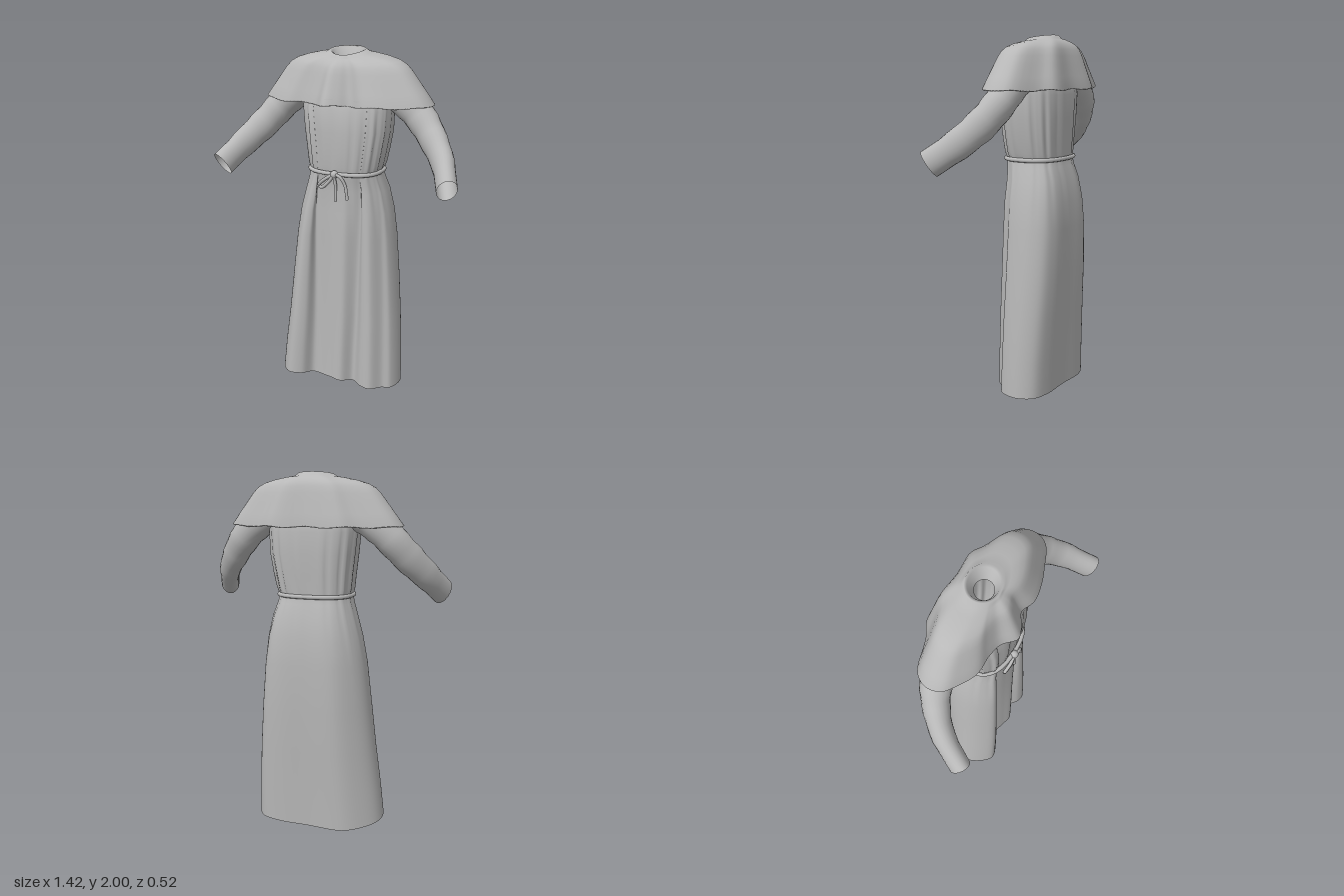
import * as THREE from 'three';

const V = (x, y, z) => new THREE.Vector3(x, y, z);
const lerp = THREE.MathUtils.lerp;
const cloth = new THREE.MeshStandardMaterial({ color: 0xb8b8b8, side: THREE.DoubleSide });
cloth.name = 'greyCloth';

// Skin a surface over closed rings of equal length, listed from bottom to top
function loft(rings) {
  const n = rings[0].length, index = [];
  for (let r = 0; r < rings.length - 1; r++) {
    for (let i = 0; i < n; i++) {
      const a = r * n + i, b = r * n + (i + 1) % n;
      index.push(a, a + n, b, b, a + n, b + n);
    }
  }
  const geo = new THREE.BufferGeometry().setFromPoints(rings.flat());
  geo.setIndex(index);
  geo.computeVertexNormals();
  return geo;
}

// Smooth closed outline through [x, z] points
const outline = (pts, n) =>
  new THREE.CatmullRomCurve3(pts.map(([x, z]) => V(x, 0, z)), true).getPoints(n).slice(0, n);

const rounded = (v) => Math.sign(v) * Math.abs(v) ** 0.79;

function add(group, name, geo) {
  const mesh = new THREE.Mesh(geo, cloth);
  mesh.name = name;
  group.add(mesh);
  return mesh;
}

// Pleated hem, as a unit outline
const hemUnit = outline([
  [-0.385, 0.03], [-0.34, 0.12], [-0.285, 0.165], [-0.215, 0.145], [-0.165, 0.08], [-0.06, 0.1],
  [0.025, 0.115], [0.085, 0.06], [0.15, 0.1], [0.21, 0.105], [0.265, 0.045], [0.312, 0.02],
  [0.338, -0.09], [0.29, -0.175], [0.18, -0.203], [0, -0.197], [-0.2, -0.2], [-0.305, -0.14], [-0.373, -0.06],
], 120).map((p) => V((p.x + 0.025) / 0.36, 0, (p.z + 0.02) / 0.185));

// One robe ring: extents, how much of the hem pleats it keeps, and small gathers
function robeRing([y, xl, xr, zf, zb, pleat, gather]) {
  return hemUnit.map((h) => {
    const a = Math.atan2(h.z, h.x);
    const g = 1 + gather * (Math.cos(17 * a) + 0.6 * Math.sin(29 * a));
    const ux = lerp(rounded(Math.cos(a)), h.x, pleat) * g;
    const uz = lerp(rounded(Math.sin(a)), h.z, pleat) * g;
    const left = Math.max(h.x, 0);
    const lift = Math.max(0, 0.03 + 0.03 * h.z * (1 - left) - 0.015 * left);
    const low = Math.max(0, 1 - y / 0.5);
    return V((xl + xr) / 2 + ux * (xr - xl) / 2, y + lift * low, (zf + zb) / 2 + uz * (zf - zb) / 2);
  });
}

// Shoulder cape with a collar that turns inward
function capeGeometry() {
  const edge = outline([
    [0, -0.245], [-0.19, -0.26], [-0.28, -0.21], [-0.45, -0.145], [-0.49, -0.07], [-0.47, 0.005],
    [-0.4, 0.055], [-0.3, 0.1], [-0.2, 0.1], [-0.12, 0.115], [-0.05, 0.172], [0.02, 0.145],
    [0.08, 0.11], [0.16, 0.135], [0.25, 0.12], [0.35, 0.08], [0.46, 0.02], [0.492, -0.06],
    [0.46, -0.14], [0.28, -0.21], [0.19, -0.26],
  ], 96);
  const ring = (f) => edge.map((p) => {
    const a = Math.atan2((p.z + 0.055) / 0.2, p.x / 0.49);
    return f(p, Math.cos(a), Math.sin(a));
  });
  const hemY = (p) => 1.708 + 0.008 * Math.cos(p.x * 14) ** 2;
  const neckY = (s) => 1.985 - 0.012 * s - 0.012 * s * s * Math.max(s, 0);
  const profile = [[1, 1], [0.88, 0.77], [0.77, 0.56], [0.68, 0.39], [0.6, 0.27], [0.5, 0.19],
    [0.36, 0.13], [0.2, 0.085], [0.07, 0.06], [0, 0]];
  return loft([
    // thick lower edge
    ring((p) => V(p.x * 0.93, hemY(p) + 0.03, p.z * 0.93)),
    ring((p) => V(p.x * 0.98, hemY(p) - 0.006, p.z * 0.98)),
    ...profile.map(([h, v]) => ring((p, c, s) => V(
      lerp(c * 0.1, p.x, h),
      lerp(neckY(s), hemY(p), v),
      // the chest side hangs straighter than the shoulders
      lerp(-0.055 + s * 0.085, p.z, h - 0.12 * Math.sin(Math.PI * h) * Math.max(s, 0)),
    ))),
    // inside of the collar
    ring((p, c, s) => V(c * 0.085, neckY(s) - 0.006, -0.055 + s * 0.072)),
    ring((p, c, s) => V(c * 0.052, 1.915 - 0.01 * s, -0.053 + s * 0.047)),
  ]);
}

// Bent sleeve, open at the cuff, flatter across than it is tall
function sleeveGeometry() {
  const path = new THREE.CatmullRomCurve3([
    V(0.22, 1.79, -0.065), V(0.34, 1.72, -0.07), V(0.43, 1.635, -0.058),
    V(0.512, 1.54, -0.01), V(0.592, 1.445, 0.075), V(0.66, 1.342, 0.212),
  ]);
  const across = [0.09, 0.085, 0.081, 0.069, 0.06, 0.053];
  const tall = [0.095, 0.09, 0.086, 0.085, 0.079, 0.074];
  const rings = [];
  for (let k = 0; k <= 16; k++) {
    const t = k / 16, c = path.getPoint(t), d = path.getTangent(t);
    const j = Math.min(4, Math.floor(t * 5)), f = t * 5 - j;
    const crease = 1 + 0.03 * Math.sin(k * 2.1);
    const rs = lerp(across[j], across[j + 1], f) * crease;
    const ru = lerp(tall[j], tall[j + 1], f) * crease;
    const side = V(0, 1, 0).cross(d).normalize(), up = d.clone().cross(side);
    rings.push(Array.from({ length: 24 }, (_, i) => {
      const a = -i / 24 * Math.PI * 2;
      return c.clone().addScaledVector(side, Math.cos(a) * rs).addScaledVector(up, Math.sin(a) * ru);
    }));
  }
  return loft(rings);
}

const rope = (pts, r, closed = false) => new THREE.TubeGeometry(
  new THREE.CatmullRomCurve3(pts.map((p) => V(...p)), closed), closed ? 80 : 20, r, 8, closed);

export function createModel() {
  const model = new THREE.Group();
  model.name = 'capedRobe';

  // y, left x, right x, front z, back z, pleat, gather
  add(model, 'skirt', loft([
    [0.0, -0.387, 0.335, 0.168, -0.205, 1, 0],
    [0.2, -0.368, 0.33, 0.165, -0.215, 0.98, 0],
    [0.45, -0.34, 0.318, 0.158, -0.23, 0.9, 0],
    [0.7, -0.315, 0.3, 0.15, -0.245, 0.8, 0],
    [0.95, -0.288, 0.28, 0.14, -0.252, 0.65, 0],
    [1.1, -0.262, 0.262, 0.13, -0.246, 0.5, 0.004],
    [1.22, -0.23, 0.235, 0.115, -0.228, 0.35, 0.008],
    [1.29, -0.208, 0.212, 0.112, -0.205, 0.15, 0.01],
    [1.33, -0.2, 0.203, 0.112, -0.197, 0.05, 0.01],
  ].map(robeRing)));

  add(model, 'torso', loft([
    [1.33, -0.2, 0.203, 0.112, -0.197, 0.05, 0.01],
    [1.37, -0.207, 0.218, 0.12, -0.2, 0.08, 0.02],
    [1.45, -0.214, 0.235, 0.126, -0.205, 0.1, 0.022],
    [1.56, -0.228, 0.255, 0.13, -0.212, 0.1, 0.018],
    [1.68, -0.243, 0.262, 0.122, -0.212, 0.06, 0.01],
    [1.76, -0.24, 0.25, 0.09, -0.2, 0, 0],
    [1.86, -0.19, 0.19, 0.02, -0.14, 0, 0],
  ].map(robeRing)));

  add(model, 'shoulderCape', capeGeometry());

  const sleeve = sleeveGeometry();
  add(model, 'leftSleeve', sleeve);
  add(model, 'rightSleeve', sleeve).scale.x = -1;

  // Rope belt with a tied bow
  const belt = new THREE.Group();
  belt.name = 'belt';
  model.add(belt);
  const loop = Array.from({ length: 28 }, (_, i) => {
    const a = i / 28 * Math.PI * 2;
    return [0.003 + rounded(Math.cos(a)) * 0.207, 1.332, -0.042 + rounded(Math.sin(a)) * 0.162];
  });
  add(belt, 'beltRope', rope(loop, 0.012, true));
  const knot = add(belt, 'knot', new THREE.SphereGeometry(0.022, 14, 10));
  knot.position.set(0, 1.332, 0.128);
  add(belt, 'bowLoop', rope([[0, 1.335, 0.13], [-0.05, 1.305, 0.135], [-0.095, 1.262, 0.125],
    [-0.08, 1.25, 0.125], [-0.045, 1.275, 0.132], [0, 1.33, 0.135]], 0.01));
  add(belt, 'middleTail', rope([[0, 1.33, 0.135], [0.006, 1.26, 0.125], [0.006, 1.18, 0.128]], 0.009));
  add(belt, 'sideTail', rope([[0, 1.335, 0.135], [0.035, 1.325, 0.138], [0.062, 1.28, 0.128],
    [0.076, 1.195, 0.125]], 0.009));

  return model;
}
